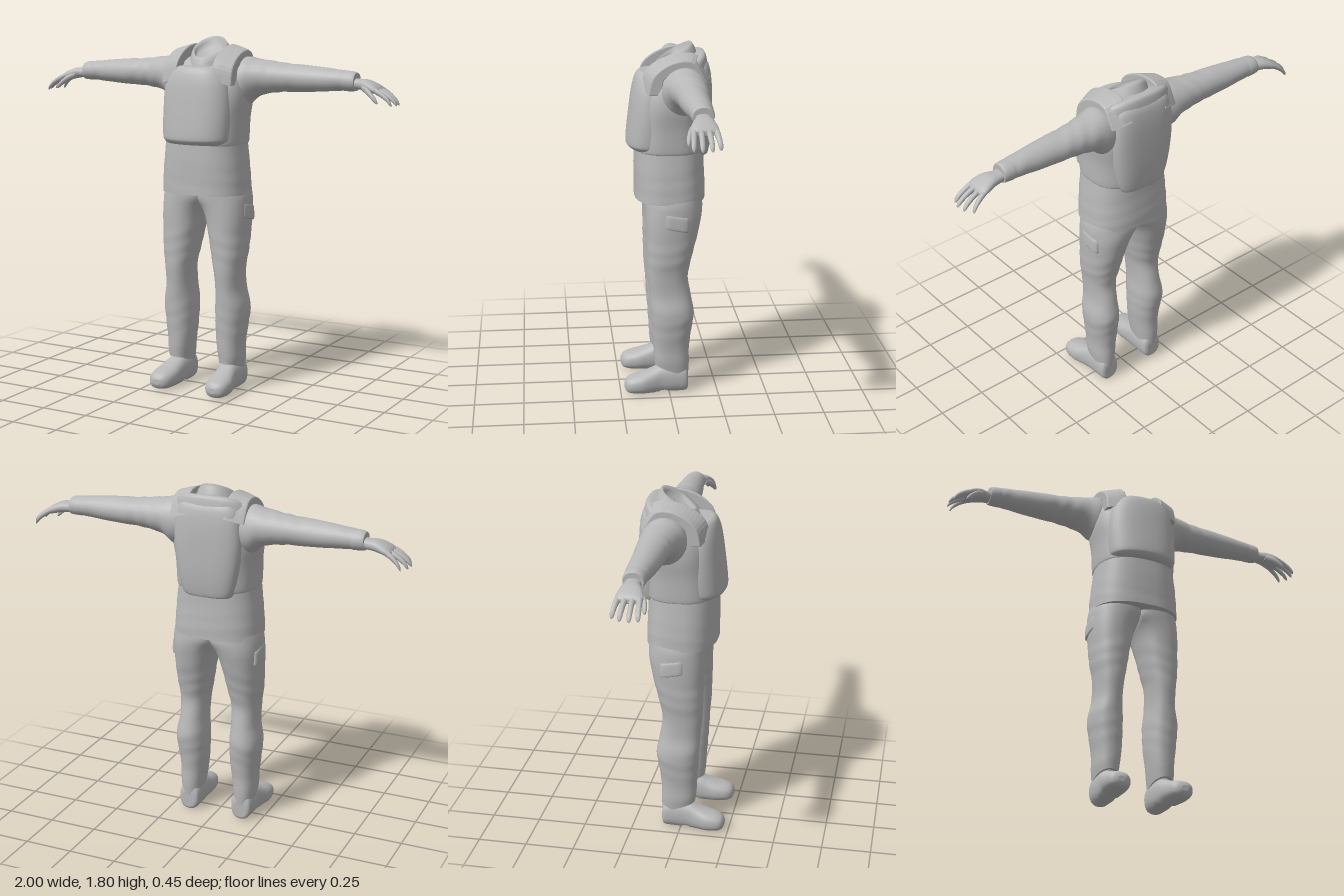
import * as THREE from 'three';

const cloth = new THREE.MeshStandardMaterial({ color: 0xb8b8b8 });
cloth.name = 'plain grey';

const spline = (a, b, c, d, t) =>
  0.5 * (2 * b + (c - a) * t + (2 * a - 5 * b + 4 * c - d) * t * t + (3 * b - a - 3 * c + d) * t * t * t);

// Smooth closed skin through sections [t, centreA, centreB, radiusA, radiusB].
// Ring planes per axis: y -> (x, z), x -> (z, y), z -> (y, x).
function loft(axis, sections, { n = 2, sides = 28, steps = 4, folds = 0, flip = false, rule = null } = {}) {
  const rings = [];
  const last = sections.length - 1;
  const at = (i) => sections[Math.min(last, Math.max(0, i))];
  for (let i = 0; i < last; i++) {
    for (let s = 0; s < steps; s++) {
      rings.push(at(i).map((_, k) => spline(at(i - 1)[k], at(i)[k], at(i + 1)[k], at(i + 2)[k], s / steps)));
    }
  }
  rings.push(sections[last]);
  const pos = [], idx = [];
  const put = (t, a, b) => {
    const p = axis === 'y' ? new THREE.Vector3(a, t, b) : axis === 'x' ? new THREE.Vector3(t, b, a) : new THREE.Vector3(b, a, t);
    if (rule) rule(p);
    pos.push(flip ? -p.x : p.x, p.y, p.z);
  };
  const tri = (a, b, c) => (flip ? idx.push(a, c, b) : idx.push(a, b, c));
  const ring = ([t, ca, cb, ra, rb]) => {
    for (let j = 0; j < sides; j++) {
      const w = (j / sides) * Math.PI * 2, c = Math.cos(w), s = Math.sin(w);
      const f = 1 + folds * Math.sin(t * 45 + 3 * Math.sin(w + 1) + 3 * Math.sin(t * 17));
      put(t, ca + ra * f * Math.sign(c) * Math.abs(c) ** (2 / n), cb + rb * f * Math.sign(s) * Math.abs(s) ** (2 / n));
    }
  };
  rings.forEach(ring);
  for (let i = 0; i < rings.length - 1; i++) {
    for (let j = 0; j < sides; j++) {
      const k = (j + 1) % sides, a = i * sides + j, b = i * sides + k;
      tri(a, a + sides, b);
      tri(b, a + sides, b + sides);
    }
  }
  // end caps with their own vertices so the rims stay crisp
  [rings[0], rings[rings.length - 1]].forEach((r, e) => {
    const base = pos.length / 3;
    ring(r);
    put(r[0], r[1], r[2]);
    for (let j = 0; j < sides; j++) {
      const k = (j + 1) % sides;
      if (e) tri(base + sides, base + k, base + j);
      else tri(base + sides, base + j, base + k);
    }
  });
  const g = new THREE.BufferGeometry();
  g.setAttribute('position', new THREE.Float32BufferAttribute(pos, 3));
  g.setIndex(idx);
  g.computeVertexNormals();
  return g;
}

// Move every vertex of a geometry by a rule.
function bend(g, rule) {
  const p = g.attributes.position, v = new THREE.Vector3();
  for (let i = 0; i < p.count; i++) {
    rule(v.fromBufferAttribute(p, i));
    p.setXYZ(i, v.x, v.y, v.z);
  }
  g.computeVertexNormals();
  return g;
}

export function createModel() {
  const model = new THREE.Group();
  model.name = 'headlessOutfit';
  const add = (name, geometry) => {
    const m = new THREE.Mesh(geometry, cloth);
    m.name = name;
    model.add(m);
  };
  // shoulders slope down towards the front
  const slope = (p) => {
    p.y -= (p.z + 0.06) * 0.45 * THREE.MathUtils.smoothstep(p.y, 1.5, 1.72);
  };

  // jacket skirt
  add('jacket', loft('y', [
    [1.02, 0, -0.015, 0.226, 0.178], [1.08, 0, -0.015, 0.224, 0.178],
    [1.18, 0, -0.012, 0.215, 0.176], [1.3, 0, -0.012, 0.202, 0.172],
  ], { n: 2.5, sides: 40, folds: 0.004 }));

  // vest body, front panel and back panel
  add('vest', loft('y', [
    [1.27, 0, -0.015, 0.204, 0.172], [1.29, 0, -0.015, 0.209, 0.177], [1.4, 0, -0.02, 0.213, 0.176],
    [1.5, 0, -0.03, 0.225, 0.174], [1.6, 0, -0.04, 0.218, 0.168], [1.66, 0, -0.05, 0.207, 0.15],
    [1.7, 0, -0.06, 0.18, 0.125], [1.715, 0, -0.06, 0.1, 0.08],
  ], { n: 2.6, sides: 40, rule: slope }));
  add('frontPanel', loft('y', [
    [1.275, 0, 0.08, 0.155, 0.1], [1.29, 0, 0.08, 0.175, 0.118], [1.32, 0, 0.08, 0.184, 0.124],
    [1.45, 0, 0.075, 0.187, 0.115], [1.56, 0, 0.07, 0.175, 0.105], [1.62, 0, 0.065, 0.152, 0.096],
    [1.65, 0, 0.06, 0.13, 0.086], [1.66, 0, 0.06, 0.105, 0.07],
  ], { n: 2.3, sides: 40 }));
  add('backPanel', loft('y', [
    [1.245, 0, -0.13, 0.11, 0.065], [1.26, 0, -0.13, 0.135, 0.078], [1.36, 0, -0.13, 0.16, 0.091],
    [1.5, 0, -0.13, 0.178, 0.094], [1.62, 0, -0.13, 0.175, 0.09], [1.7, 0, -0.13, 0.155, 0.075],
    [1.73, 0, -0.125, 0.12, 0.05],
  ], { n: 3.2, sides: 40 }));

  // collar: a turned rim, squeezed towards the front and tilted
  const rim = [[1.12, -0.08], [1, -0.03], [0.86, 0.02], [0.74, 0.045], [0.64, 0.03], [0.6, 0], [0, 0]];
  add('collar', bend(new THREE.LatheGeometry(rim.map(([r, y]) => new THREE.Vector2(r, y)), 40), (p) => {
    p.x *= 0.115 * (1 - 0.3 * Math.max(0, p.z));
    p.z = p.z * 0.118 - 0.035;
    p.y += 1.705 - (p.z + 0.035) * 0.58;
  }));

  // shoulder strap side profile in (z, y)
  const strapLine = (d) => new THREE.SplineCurve([
    [0.112 + d, 1.6], [0.09 + d, 1.66 + d], [0.04, 1.712 + d], [-0.05, 1.74 + d], [-0.14, 1.73 + d], [-0.19 - d, 1.66],
  ].map(([z, y]) => new THREE.Vector2(z, y))).getPoints(20);
  const strapShape = new THREE.Shape([...strapLine(0.016), ...strapLine(-0.03).reverse()]);

  for (const side of [1, -1]) {
    const flip = side < 0;
    const tag = flip ? 'right' : 'left';

    // strap, wrapping down and inwards at its outer edge
    const strap = new THREE.ExtrudeGeometry(strapShape, { depth: 0.085, steps: 3, bevelThickness: 0.006, bevelSize: 0.006, bevelSegments: 2 });
    strap.rotateY(-Math.PI / 2);
    strap.translate(side * 0.148 + 0.0425, 0, 0);
    add(tag + 'ShoulderStrap', bend(strap, (p) => {
      const out = Math.max(0, Math.abs(p.x) - 0.11);
      p.z = -0.04 + (p.z + 0.04) * (1 - out * 2.2);
      p.y -= out * 0.3;
    }));

    // sleeve and cuff
    add(tag + 'Sleeve', loft('x', [
      [0.13, -0.07, 1.59, 0.1, 0.1], [0.2, -0.07, 1.585, 0.112, 0.122], [0.26, -0.08, 1.604, 0.1, 0.094],
      [0.33, -0.088, 1.608, 0.087, 0.08], [0.42, -0.09, 1.608, 0.079, 0.07], [0.5, -0.09, 1.606, 0.073, 0.067],
      [0.6, -0.092, 1.605, 0.066, 0.06], [0.7, -0.094, 1.605, 0.057, 0.051], [0.75, -0.095, 1.603, 0.051, 0.046],
    ], { flip, folds: 0.016, steps: 6 }));
    add(tag + 'Cuff', loft('x', [
      [0.715, -0.094, 1.603, 0.052, 0.047], [0.73, -0.095, 1.603, 0.055, 0.05],
      [0.765, -0.095, 1.602, 0.053, 0.048], [0.782, -0.095, 1.6, 0.049, 0.044],
    ], { flip }));

    // hand with four curled fingers and a thumb
    add(tag + 'Palm', loft('x', [
      [0.76, -0.095, 1.592, 0.038, 0.027], [0.8, -0.095, 1.59, 0.039, 0.026], [0.84, -0.09, 1.586, 0.051, 0.028],
      [0.88, -0.088, 1.574, 0.062, 0.025], [0.905, -0.088, 1.564, 0.063, 0.019], [0.915, -0.088, 1.56, 0.052, 0.01],
    ], { flip, n: 2.3 }));
    [[-0.137, -0.152, 0.075], [-0.105, -0.112, 0.1], [-0.072, -0.068, 0.105], [-0.04, -0.03, 0.092]].forEach(([z0, z1, len], f) => {
      const path = [[-0.15, 0.006, 0.012], [0.1, 0, 0.014], [0.45, -0.016, 0.013], [0.75, -0.036, 0.012], [0.93, -0.054, 0.01], [1, -0.064, 0.004]];
      add(tag + 'Finger' + (f + 1), loft('x', path.map(([u, dy, r]) =>
        [0.895 + u * len, z0 + (z1 - z0) * u, 1.563 + dy, r, r * 1.1]), { flip, sides: 12, steps: 3 }));
    });
    add(tag + 'Thumb', loft('x', [
      [0.825, -0.06, 1.58, 0.016, 0.018], [0.86, -0.038, 1.562, 0.017, 0.018], [0.89, -0.022, 1.54, 0.013, 0.016],
      [0.912, -0.016, 1.52, 0.01, 0.013], [0.922, -0.015, 1.51, 0.004, 0.005],
    ], { flip, sides: 12 }));

    // trouser leg; the hem rises at the front and the legs join at the middle seam
    add(tag + 'TrouserLeg', loft('y', [
      [0.12, 0.148, -0.014, 0.055, 0.086], [0.17, 0.148, -0.014, 0.062, 0.09], [0.24, 0.145, -0.012, 0.067, 0.092],
      [0.33, 0.146, -0.015, 0.076, 0.1], [0.43, 0.15, -0.018, 0.081, 0.11], [0.53, 0.144, -0.008, 0.069, 0.105],
      [0.63, 0.142, 0.004, 0.073, 0.102], [0.72, 0.139, -0.003, 0.088, 0.112], [0.82, 0.132, -0.014, 0.1, 0.126],
      [0.9, 0.124, -0.022, 0.111, 0.136], [0.95, 0.112, -0.026, 0.123, 0.142], [1, 0.09, -0.028, 0.142, 0.146],
      [1.05, 0.085, -0.028, 0.135, 0.144],
    ], {
      flip, n: 2.25, folds: 0.009, steps: 6, sides: 36,
      rule: (p) => {
        if (p.y < 0.2) p.y += (p.z + 0.01) * 0.35 * (0.2 - p.y) / 0.08;
        p.x = Math.max(p.x, 0);
      },
    }));
    // slanted pocket flap on the outer thigh
    add(tag + 'PocketFlap', loft('y', [
      [0.89, 0.214, -0.035, 0.022, 0.058], [0.9, 0.214, -0.035, 0.027, 0.062], [0.95, 0.214, -0.035, 0.025, 0.062], [0.965, 0.214, -0.035, 0.02, 0.058],
    ], { flip, n: 3, rule: (p) => { p.y += (p.z + 0.035) * 0.2; } }));

    // boot, with a flat sole and a low arch before the heel
    add(tag + 'Boot', loft('z', [
      [-0.098, 0.06, 0.148, 0.045, 0.035], [-0.085, 0.07, 0.148, 0.07, 0.053], [-0.03, 0.075, 0.148, 0.078, 0.057],
      [0.04, 0.07, 0.15, 0.075, 0.056], [0.09, 0.06, 0.155, 0.064, 0.061], [0.14, 0.052, 0.16, 0.055, 0.067],
      [0.19, 0.047, 0.163, 0.046, 0.06], [0.218, 0.044, 0.165, 0.034, 0.043], [0.23, 0.044, 0.165, 0.014, 0.018],
    ], { flip, n: 2.4, rule: (p) => { p.y = Math.max(p.y, 0.016 * Math.exp(-(((p.z - 0.03) / 0.03) ** 2))); } }));
    add(tag + 'Ankle', loft('y', [
      [0.06, 0.148, -0.02, 0.052, 0.075], [0.12, 0.148, -0.016, 0.05, 0.078], [0.19, 0.148, -0.015, 0.048, 0.07],
    ], { flip }));
  }
  return model;
}
